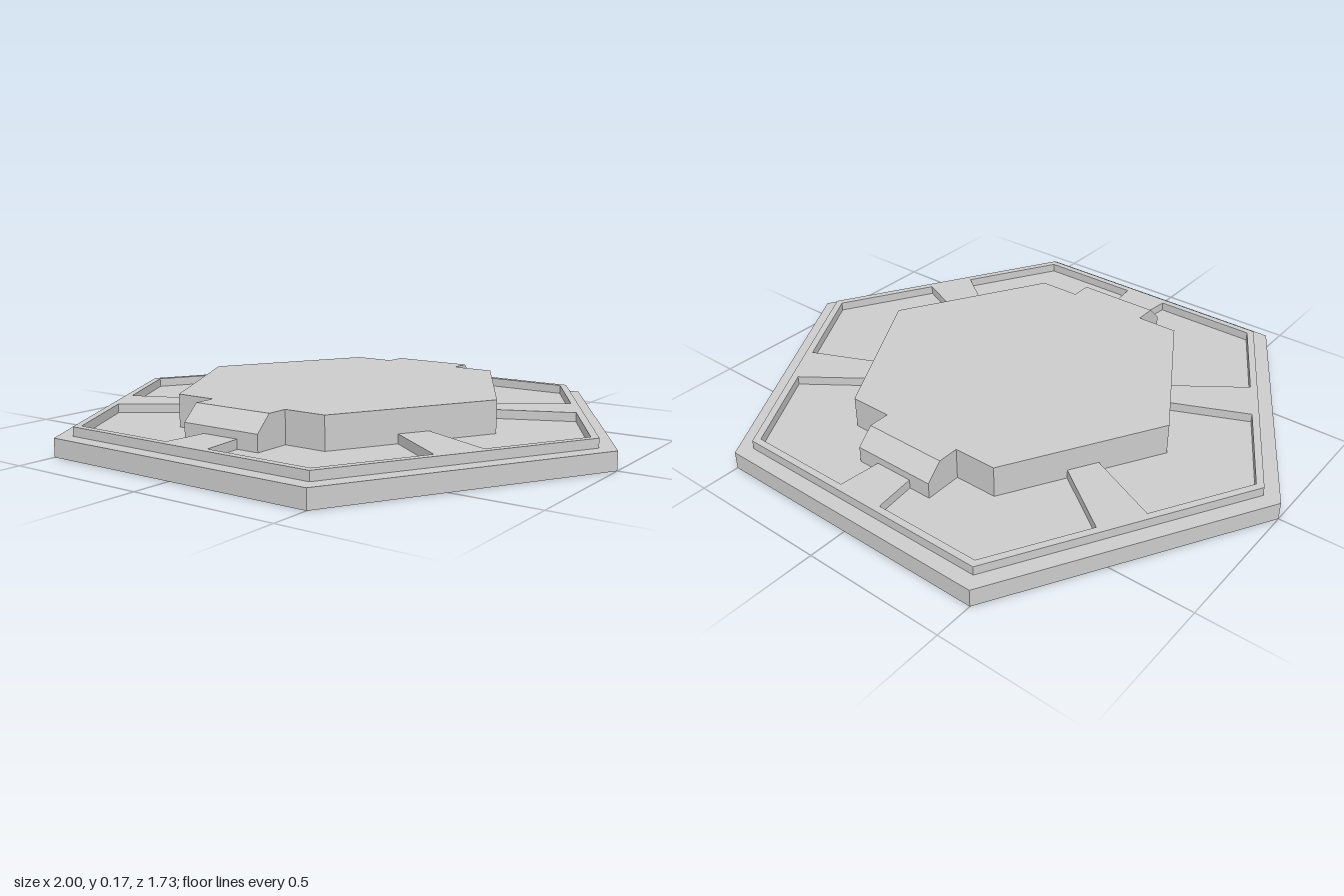
import * as THREE from 'three';

const material = new THREE.MeshStandardMaterial({ color: 0xcccccc, flatShading: true, side: THREE.DoubleSide });

// heights
const LIP = 0.062, DECK = 0.093, LUG = 0.118, TOP = 0.172;
// apothems of the pocket edge and the central block
const POCKET = 0.79, BLOCK = 0.515, SPREAD = 0.105;
const LUG_X = 0.148, LUG_TIP = 0.645, LUG_TOP = 0.59;
const COS30 = Math.cos(Math.PI / 6);

const polar = (r, deg) => [r * Math.cos(deg * Math.PI / 180), r * Math.sin(deg * Math.PI / 180)];
const hexagon = r => [0, 60, 120, 180, 240, 300].map(a => polar(r, a));
const at = (points, y) => points.map(([x, z]) => [x, y, z]);

// point on the edge of a radial spoke, at a given distance from the centre
function spokeEdge(deg, distance, side) {
  const [cx, cz] = polar(distance, deg), [tx, tz] = polar(distance * SPREAD * side, deg + 90);
  return [cx + tx, cz + tz];
}

// wall between two matching rows of points
function strip(lower, upper, closed = false) {
  const v = [], n = lower.length;
  for (let i = 0; i < (closed ? n : n - 1); i++) {
    const j = (i + 1) % n;
    v.push(...lower[i], ...upper[i], ...upper[j], ...lower[i], ...upper[j], ...lower[j]);
  }
  const g = new THREE.BufferGeometry();
  g.setAttribute('position', new THREE.Float32BufferAttribute(v, 3));
  g.computeVertexNormals();
  return g;
}

// horizontal sheet with an optional opening
function sheet(points, y, hole) {
  const toV = p => new THREE.Vector2(p[0], -p[1]);
  const shape = new THREE.Shape(points.map(toV));
  if (hole) shape.holes.push(new THREE.Path(hole.map(toV)));
  return new THREE.ShapeGeometry(shape).rotateX(-Math.PI / 2).translate(0, y, 0);
}

// outlines of one pocket: its outer edge, and the block wall [x, z, top] behind it
function sector(k) {
  const mid = k * 60, a = mid - 30, b = mid + 30;
  const hasLug = deg => ((deg + 360) % 180) === 90;
  const outer = [
    spokeEdge(a, POCKET, 1), polar(POCKET / COS30, mid), spokeEdge(b, POCKET, -1)
  ];
  const end = (deg, side) => {
    if (!hasLug(deg)) return [[...spokeEdge(deg, BLOCK, side), TOP]];
    const tip = spokeEdge(deg, LUG_TIP, side);
    const sx = Math.sign(tip[0]), sz = Math.sign(tip[1]);
    return [
      [...tip, LUG],
      [sx * LUG_X, sz * LUG_TIP, LUG],
      [sx * LUG_X, sz * LUG_TOP, TOP],
      [sx * LUG_X, sz * BLOCK, TOP]
    ];
  };
  const inner = [...end(a, 1), [...polar(BLOCK / COS30, mid), TOP], ...end(b, -1).reverse()];
  return { outer, inner };
}

export function createModel() {
  const model = new THREE.Group();
  const add = (name, geometry, parent = model) => {
    const mesh = new THREE.Mesh(geometry, material);
    mesh.name = name;
    parent.add(mesh);
  };

  // stepped hexagonal rim, open underneath
  const rim = hexagon(1), step = hexagon(0.94);
  add('baseSkirt', strip(at(rim, 0), at(rim, LIP), true));
  add('baseLip', strip(at(rim, LIP), at(step, LIP), true));
  add('deckStep', strip(at(step, LIP), at(step, DECK), true));

  // deck with spokes running in to the central block
  const sectors = [0, 1, 2, 3, 4, 5].map(sector);
  const opening = sectors.flatMap(({ outer, inner }) => [inner[0], ...outer, inner[inner.length - 1]]);
  add('deckAndSpokes', sheet(step, DECK, opening));

  // sunken pockets and the block walls
  const pockets = new THREE.Group(), block = new THREE.Group();
  pockets.name = 'pockets';
  block.name = 'centralBlock';
  model.add(pockets, block);
  const tops = p => p.map(([x, z, y]) => [x, y, z]);
  sectors.forEach(({ outer, inner }, k) => {
    const last = inner[inner.length - 1], next = sectors[(k + 1) % 6].inner[0];
    const edge = [inner[0], ...outer, last].reverse();
    add('pocketFloor', sheet([...outer, ...[...inner].reverse()], LIP), pockets);
    add('pocketWall', strip(at(edge, LIP), at(edge, DECK)), pockets);
    add('blockWall', strip(at(inner, LIP), tops(inner)), block);
    add('blockWallAboveSpoke', strip(at([last, next], DECK), tops([last, next])), block);
  });

  // block top and the sloped ends of its two lugs
  const topOutline = sectors.flatMap(s => s.inner.filter(p => p[2] === TOP));
  add('blockTop', sheet(topOutline, TOP), block);
  for (const s of [1, -1]) {
    const row = z => [[s * LUG_X, s * z], [-s * LUG_X, s * z]];
    add('lugSlope', strip(at(row(LUG_TIP), LUG), at(row(LUG_TOP), TOP)), block);
  }
  return model;
}
